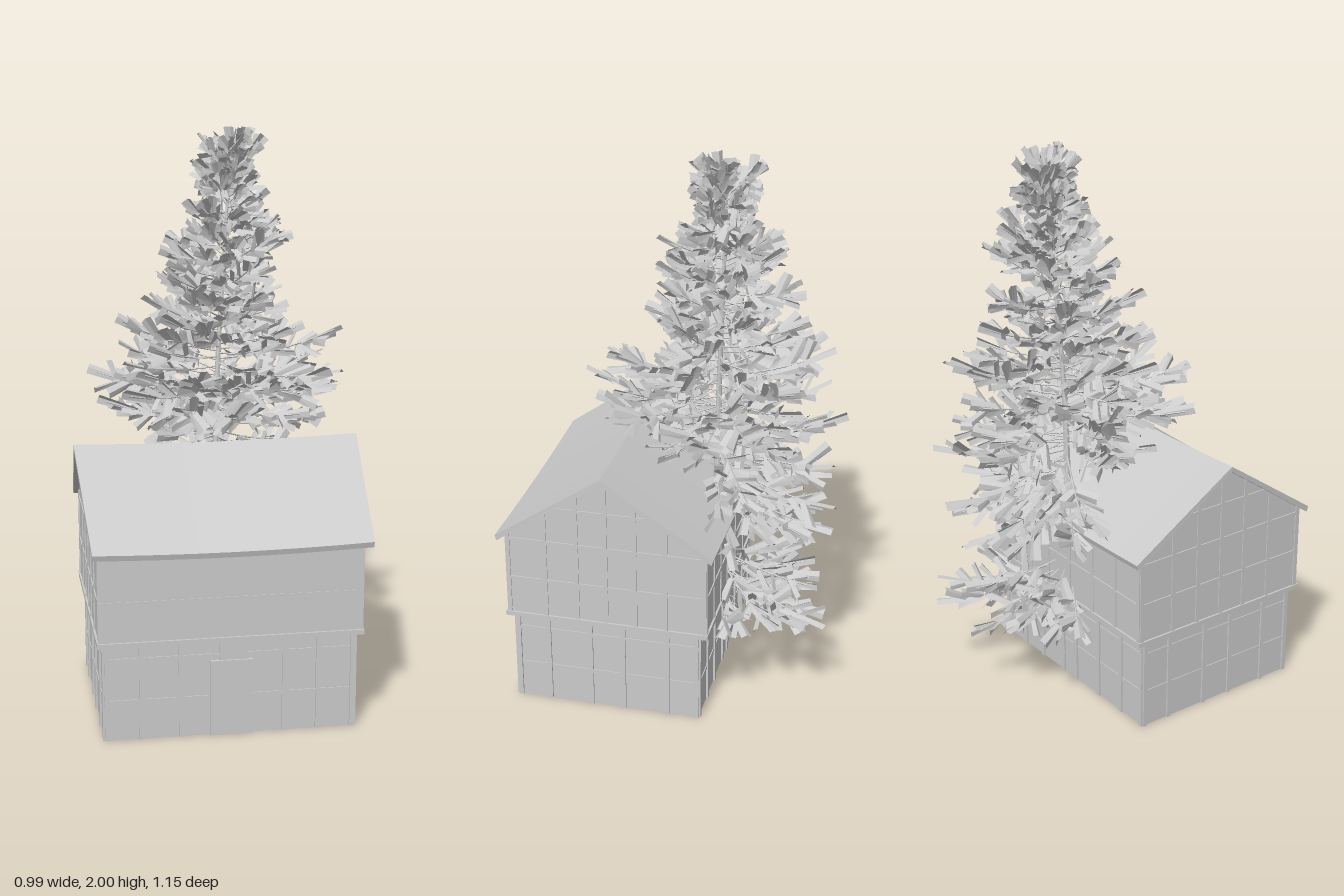
import * as THREE from 'three';
import { mergeGeometries } from 'three/addons/utils/BufferGeometryUtils.js';

const material = new THREE.MeshStandardMaterial({ color: 0xcccccc, flatShading: true, side: THREE.DoubleSide });
const RIDGE_Z = 0.205, RIDGE_Y = 0.95, EAVE_Y = 0.678, FLOOR_Y = 0.35;
const LOW = { x0: -0.435, x1: 0.425, z0: -0.125, z1: 0.545 };
const UP = { x0: -0.453, x1: 0.443, z0: -0.155, z1: 0.568 };

let seed = 7;
const rnd = (a = 0, b = 1) => {
  seed = (seed * 16807) % 2147483647;
  return a + (b - a) * (seed / 2147483647);
};
const roofY = z => RIDGE_Y - Math.abs(z - RIDGE_Z) * (RIDGE_Y - EAVE_Y) / 0.39;

function add(parent, name, geometry) {
  const mesh = new THREE.Mesh(geometry, material);
  mesh.name = name;
  parent.add(mesh);
}
// box given by its two corners
function span(x0, x1, y0, y1, z0, z1) {
  return new THREE.BoxGeometry(x1 - x0, y1 - y0, z1 - z0)
    .translate((x0 + x1) / 2, (y0 + y1) / 2, (z0 + z1) / 2);
}
// four bars around a storey, reaching out and in from its faces
function ring({ x0, x1, z0, z1 }, y0, y1, out, inward) {
  return [
    span(x0 - out, x1 + out, y0, y1, z1 - inward, z1 + out),
    span(x0 - out, x1 + out, y0, y1, z0 - out, z0 + inward),
    span(x0 - out, x0 + inward, y0, y1, z0, z1),
    span(x1 - inward, x1 + out, y0, y1, z0, z1),
  ];
}

function buildWalls(house) {
  const t = 0.01;
  // lower storey, open underneath
  add(house, 'lowerWalls', mergeGeometries(ring(LOW, 0, FLOOR_Y, 0, t)));
  // upper storey, slightly overhanging
  add(house, 'upperWalls', mergeGeometries([
    span(UP.x0, UP.x1, FLOOR_Y, EAVE_Y, UP.z1 - t, UP.z1),
    span(UP.x0, UP.x1, FLOOR_Y, EAVE_Y, UP.z0, UP.z0 + t),
  ]));
  const gable = new THREE.Shape([[UP.z0, FLOOR_Y], [UP.z1, FLOOR_Y], [UP.z1, roofY(UP.z1) - 0.01],
    [RIDGE_Z, RIDGE_Y - 0.01], [UP.z0, roofY(UP.z0) - 0.01]].map(p => new THREE.Vector2(...p)));
  for (const x of [UP.x0 + t, UP.x1]) {
    const g = new THREE.ExtrudeGeometry(gable, { depth: t, bevelEnabled: false });
    add(house, 'gableWall', g.rotateY(-Math.PI / 2).translate(x, 0, 0));
  }
}

function buildTimbers(house) {
  const w = 0.008, p = 0.007, parts = [];
  const { x0, x1, z0, z1 } = LOW;
  // lower posts, front, back and sides
  for (const x of [-0.427, -0.31, -0.175, -0.035, 0.045, 0.18, 0.297, 0.417]) {
    parts.push(span(x - w, x + w, 0, FLOOR_Y, z1 - 0.018, z1 + p));
    parts.push(span(x - w, x + w, 0, FLOOR_Y, z0 - p, z0 + 0.018));
  }
  for (const z of [-0.117, -0.01, 0.15, 0.27, 0.425, 0.537]) {
    parts.push(span(x0 - p, x0 + 0.018, 0, FLOOR_Y, z - w, z + w));
    parts.push(span(x1 - 0.018, x1 + p, 0, FLOOR_Y, z - w, z + w));
  }
  // lower rails
  for (const y of [0.13, 0.28]) parts.push(...ring(LOW, y, y + 0.014, 0.003, 0.025));
  // upper posts on the gables and the back
  const q = 0.004;
  for (const z of [-0.147, -0.01, 0.1, 0.205, 0.31, 0.425, 0.56]) {
    const top = roofY(z) - 0.02;
    parts.push(span(UP.x0 - q, UP.x0, FLOOR_Y, top, z - w, z + w));
    parts.push(span(UP.x1, UP.x1 + q, FLOOR_Y, top, z - w, z + w));
  }
  for (const x of [-0.445, -0.31, -0.175, -0.035, 0.1, 0.21, 0.32, 0.435])
    parts.push(span(x - w, x + w, FLOOR_Y, EAVE_Y, UP.z0 - q, UP.z0));
  // upper rails
  for (const y of [0.5, 0.655, 0.79]) {
    const half = Math.min(0.36, (RIDGE_Y - y) * 1.418 - 0.03);
    for (const x of [UP.x0 - q, UP.x1])
      parts.push(span(x, x + q, y - 0.006, y + 0.006, RIDGE_Z - half, RIDGE_Z + half));
  }
  parts.push(span(UP.x0, UP.x1, 0.495, 0.507, UP.z0 - q, UP.z0));
  parts.push(span(UP.x0, UP.x1, 0.497, 0.503, UP.z1, UP.z1 + 0.002));
  add(house, 'timberFrame', mergeGeometries(parts));

  // beam ring under the overhang
  add(house, 'floorBeams', mergeGeometries(ring(UP, 0.343, 0.36, 0.007, 0.05)));
  // door with its lintel panel
  add(house, 'door', mergeGeometries([
    span(-0.075, 0.07, 0, 0.27, z1, z1 + 0.012), span(-0.045, 0.04, 0.27, 0.343, z1, z1 + 0.005)]));
}

// sagging roof slopes, wider along the ridge than along the eaves
function buildRoof(house) {
  for (const side of [1, -1]) {
    const g = new THREE.BoxGeometry(2, 1, 1, 8, 1, 1);
    const pos = g.attributes.position;
    for (let i = 0; i < pos.count; i++) {
      const u = pos.getX(i), under = pos.getY(i) < 0;
      const t = side * pos.getZ(i) + 0.5;
      const y = RIDGE_Y + (EAVE_Y - RIDGE_Y) * t - 0.01 * (1 - u * u);
      pos.setXYZ(i, u * (0.497 - 0.024 * t), y - (under ? 0.02 : 0),
        RIDGE_Z + side * (0.39 * t - (under ? 0.006 * t : 0)));
    }
    g.computeVertexNormals();
    add(house, 'roofSlope', g);
  }
}

const trunkPath = new THREE.CatmullRomCurve3([[0.04, 0, -0.09], [0.045, 0.6, -0.1], [0.055, 1.15, -0.11],
  [0.085, 1.6, -0.13], [0.105, 1.96, -0.14]].map(p => new THREE.Vector3(...p)));
// point of the trunk at height y, by bisection
function trunkAt(y) {
  let a = 0, b = 1;
  for (let i = 0; i < 20; i++) {
    const m = (a + b) / 2;
    if (trunkPath.getPoint(m).y < y) a = m; else b = m;
  }
  return trunkPath.getPoint(a);
}

// piecewise linear lookup
function lookup(table, y) {
  for (let i = 1; i < table.length; i++) {
    const [a, va] = table[i - 1], [b, vb] = table[i];
    if (y <= b) return va + (vb - va) * Math.max(0, (y - a) / (b - a));
  }
  return table[table.length - 1][1];
}
const REACH = [[0.4, 0.44], [0.9, 0.46], [1.12, 0.44], [1.25, 0.31], [1.35, 0.27], [1.5, 0.26], [1.65, 0.17], [1.75, 0.11], [1.85, 0.11], [1.95, 0.04]];
const RISE = [[0.4, -0.08], [0.8, -0.12], [0.95, 0.02], [1.1, 0.07], [1.95, 0.06]];
// inside the house or beyond the crown
const blocked = p => (p.z > -0.17 && Math.abs(p.x) < 0.5 && p.y < roofY(p.z) + 0.01)
  || p.y > 1.998 || p.x < -0.48 || p.x > 0.49 || p.z < -0.597 || p.z > 0.345;

function buildTree(tree) {
  // tapered trunk
  const trunk = new THREE.CylinderGeometry(0.004, 0.018, 1.96, 7, 14).translate(0, 0.98, 0);
  const tp = trunk.attributes.position;
  for (let i = 0; i < tp.count; i++) {
    const c = trunkAt(tp.getY(i));
    tp.setXYZ(i, tp.getX(i) + c.x, tp.getY(i), tp.getZ(i) + c.z);
  }
  trunk.computeVertexNormals();
  add(tree, 'trunk', trunk);

  const verts = [], twigs = [];
  const up = new THREE.Vector3(0, 1, 0);
  // needle spray: a strip folded along its middle
  function spray(base, dir, length, width) {
    const tip = base.clone().addScaledVector(dir, length);
    if (blocked(tip) || blocked(base)) return;
    const side = new THREE.Vector3().crossVectors(dir, up).normalize().applyAxisAngle(dir, rnd(-1.4, 1.4));
    const fold = new THREE.Vector3().crossVectors(side, dir).multiplyScalar(-width * 0.3);
    for (const s of [1, -1]) {
      const a = base.clone().addScaledVector(side, s * width * 0.4).add(fold);
      const b = tip.clone().addScaledVector(side, s * width * 0.55).add(fold);
      for (const v of s > 0 ? [base, a, b, base, b, tip] : [base, b, a, base, tip, b]) verts.push(v.x, v.y, v.z);
    }
  }
  function branch(h, angle, scale) {
    const reach = lookup(REACH, h) * scale, rise = lookup(RISE, h) + rnd(-0.07, 0.07);
    const out = new THREE.Vector3(Math.cos(angle), 0, Math.sin(angle));
    const start = trunkAt(h);
    const end = start.clone().addScaledVector(out, reach);
    end.y += rise;
    if (blocked(end)) return;
    const mid = start.clone().lerp(end, 0.55);
    mid.y -= 0.1 * reach;
    const limb = new THREE.QuadraticBezierCurve3(start, mid, end);
    twigs.push(new THREE.TubeGeometry(limb, 5, 0.003, 4));
    // paired sprays fanning from the outer part of the limb
    const pairs = Math.max(3, Math.round(reach * 11)), tilt = rnd(-1, 1);
    for (let k = 0; k < pairs; k++) {
      const t = 0.32 + 0.6 * (k / pairs);
      const p = limb.getPoint(t), d = limb.getTangent(t);
      for (const s of [1, -1]) {
        const dir = d.clone().applyAxisAngle(up, s * rnd(0.5, 1.0)).applyAxisAngle(d, tilt);
        dir.y += rnd(-0.4, 0.5);
        spray(p, dir.normalize(), rnd(0.06, 0.11) * (0.6 + reach), rnd(0.028, 0.045));
      }
    }
    spray(limb.getPoint(0.7), limb.getTangent(1), reach * 0.3 + 0.03, 0.036);
  }
  // whorls above the roof
  for (let i = 0; i < 145; i++) branch(0.93 + i * 0.0069, i * 2.39996 + rnd(-0.4, 0.4), rnd(0.55, 1.08));
  // long limbs just above the ridge
  for (const a of [0.2, 0.7, 1.4, 1.9, 2.5, 3.3]) branch(1.06, a, 0.98);
  // two tiers hanging behind the house
  for (let i = 0; i < 24; i++) branch(0.73 + i * 0.0095, -0.15 - 2.85 * ((i * 0.618) % 1), rnd(0.6, 1.05));
  for (let i = 0; i < 13; i++) branch(0.38 + i * 0.009, -0.35 - 2.4 * ((i * 0.618) % 1), rnd(0.6, 1.05));
  // leader shoots at the crown
  for (let i = 0; i < 16; i++) {
    const a = i * 2.4;
    spray(trunkAt(1.78 + i * 0.01), new THREE.Vector3(Math.cos(a) * 0.5, 1, Math.sin(a) * 0.5).normalize(), rnd(0.05, 0.09), 0.03);
  }
  // bare twigs low on the trunk
  for (let i = 0; i < 8; i++) {
    const y = 0.08 + i * 0.033, x = 0.04 + rnd(-0.05, 0.05);
    twigs.push(new THREE.TubeGeometry(new THREE.LineCurve3(
      new THREE.Vector3(0.04, y + 0.03, -0.1), new THREE.Vector3(x, y, -0.18)), 1, 0.0015, 3));
  }
  const needles = new THREE.BufferGeometry();
  needles.setAttribute('position', new THREE.Float32BufferAttribute(verts, 3));
  needles.computeVertexNormals();
  add(tree, 'needleSprays', needles);
  add(tree, 'branches', mergeGeometries(twigs));
}

export function createModel() {
  seed = 7;
  const model = new THREE.Group();
  model.name = 'houseWithFir';
  const house = new THREE.Group(), tree = new THREE.Group();
  house.name = 'house';
  tree.name = 'firTree';
  buildWalls(house);
  buildTimbers(house);
  buildRoof(house);
  buildTree(tree);
  model.add(house, tree);
  return model;
}
